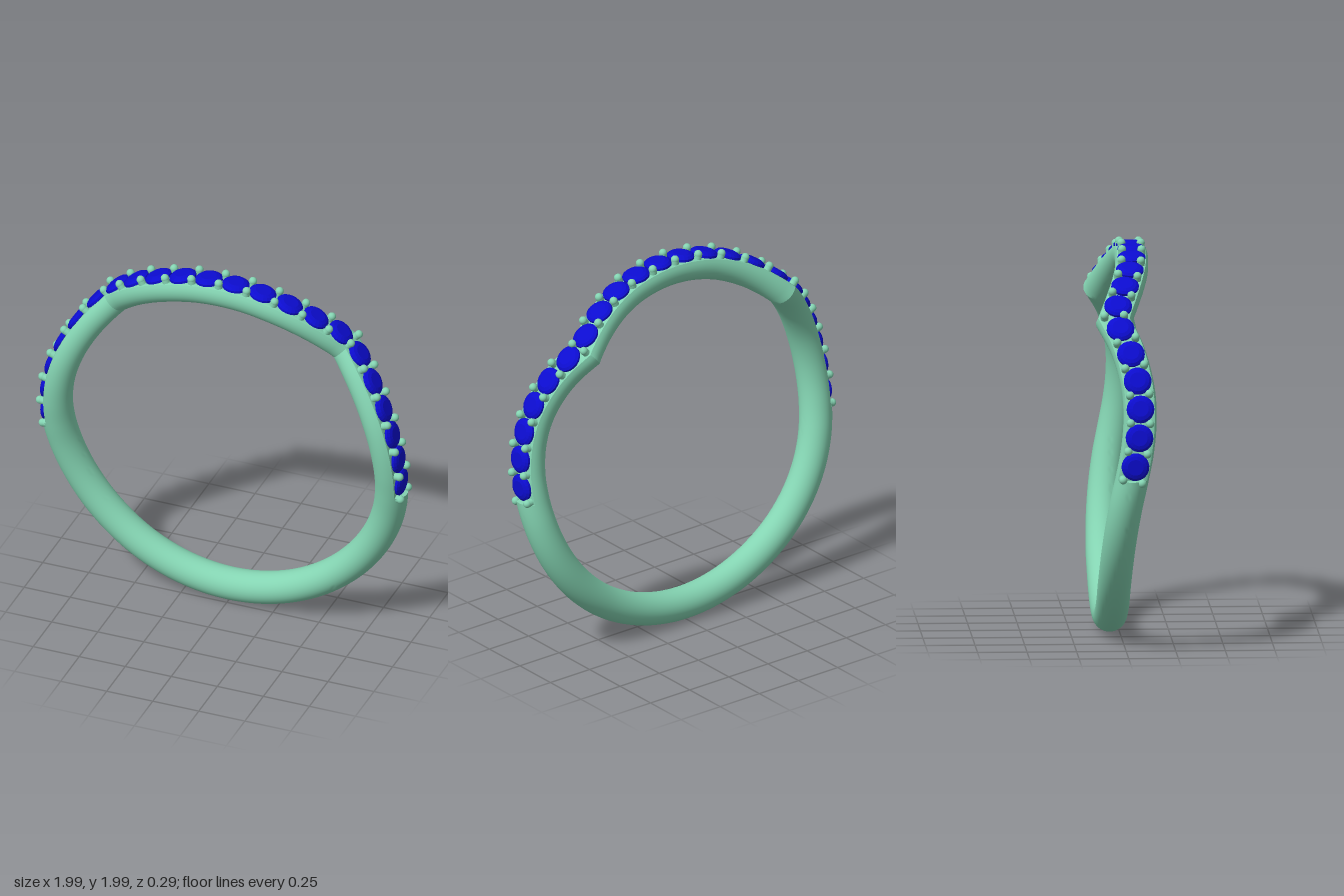
import * as THREE from 'three';
import { toCreasedNormals } from 'three/addons/utils/BufferGeometryUtils.js';

const CY = 0.992, R = 0.908, TUBE = 0.084;   // ring centre height, centreline radius, tube radius
const FLAT = 0.045;                          // height of the flat seat cut for the stones
const STEP = 8.7, COUNT = 22;                // degrees between stones, number of stones
const END = STEP * COUNT / 2;
const RAD = Math.PI / 180;

// Sideways sway of the band, one knot per STEP degrees from the top; sharp peak at KINK
const KINK = 5;
const SWAY = [0.062, 0.058, 0.048, 0.024, -0.012, -0.056, 0, 0.038, 0.06, 0.062, 0.048,
  0.022, -0.006, -0.027, -0.041, -0.049, -0.053];

function sway(deg) {
  let a = Math.abs(deg) % 360;
  if (a > 180) a = 360 - a;
  const u = a / STEP, i = Math.floor(u + 1e-6), t = u - i;
  const k = (n) => SWAY[Math.min(Math.abs(n), SWAY.length - 1)];
  const slope = (n, side) => (n === KINK
    ? (side > 0 ? k(n + 1) - k(n) : k(n) - k(n - 1))
    : (k(n + 1) - k(n - 1)) / 2);
  const m0 = slope(i, 1), m1 = slope(i + 1, -1), t2 = t * t, t3 = t2 * t;
  return (2 * t3 - 3 * t2 + 1) * k(i) + (t3 - 2 * t2 + t) * m0
    + (3 * t2 - 2 * t3) * k(i + 1) + (t3 - t2) * m1;
}

// Slope of the sway per unit of arc length
function swaySlope(deg, d = 0.5) {
  return (sway(deg + d) - sway(deg - d)) / (2 * d * RAD * R);
}

function bandGeometry() {
  const sides = 36, pos = [], index = [], rings = [];
  const fine = STEP / 6;
  for (let i = 0; i <= COUNT * 6; i++) rings.push([-END + i * fine, true]);
  const plain = 112;
  for (let i = 0; i <= plain; i++) rings.push([END + (360 - 2 * END) * i / plain, false]);

  for (const [deg, cut] of rings) {
    const p = deg * RAD, z = sway(deg);
    // widen slanted sections so the tube keeps its thickness; the kink is mitred
    const near = Math.max(Math.abs(swaySlope(deg - 0.6)), Math.abs(swaySlope(deg + 0.6)));
    const wide = Math.hypot(1, near);
    for (let j = 0; j < sides; j++) {
      const a = j / sides * Math.PI * 2;
      let h = TUBE * Math.cos(a);
      if (cut) h = Math.min(h, FLAT);
      let w = TUBE * Math.sin(a);
      pos.push((R + h) * Math.sin(p), CY + (R + h) * Math.cos(p), z + w * wide);
    }
  }
  for (let i = 0; i < rings.length; i++) {
    const n = (i + 1) % rings.length;
    for (let j = 0; j < sides; j++) {
      const k = (j + 1) % sides;
      const a = i * sides + j, b = i * sides + k, c = n * sides + k, d = n * sides + j;
      index.push(a, b, d, b, c, d);
    }
  }
  const g = new THREE.BufferGeometry();
  g.setAttribute('position', new THREE.Float32BufferAttribute(pos, 3));
  g.setIndex(index);
  return toCreasedNormals(g, 0.42);
}

// Group on the band at an angle: y points outward, x along the band, z across it
function mount(deg, radius) {
  const p = deg * RAD, g = new THREE.Group();
  const out = new THREE.Vector3(Math.sin(p), Math.cos(p), 0);
  const along = new THREE.Vector3(Math.cos(p), -Math.sin(p), swaySlope(deg)).normalize();
  const across = new THREE.Vector3().crossVectors(along, out);
  g.quaternion.setFromRotationMatrix(new THREE.Matrix4().makeBasis(along, out, across));
  g.position.set(out.x * radius, CY + out.y * radius, sway(deg));
  return g;
}

export function createModel() {
  const ring = new THREE.Group();
  ring.name = 'ring';
  const metal = new THREE.MeshStandardMaterial({ color: 0x84d4b2 });
  const blue = new THREE.MeshStandardMaterial({ color: 0x0c0cd0, flatShading: true });

  const band = new THREE.Mesh(bandGeometry(), metal);
  band.name = 'band';
  ring.add(band);

  // Round cut stones: pavilion, girdle, crown and table
  const profile = [[0, -0.04], [0.07, 0], [0.07, 0.012], [0.058, 0.022], [0.04, 0.028], [0, 0.028]]
    .map(([x, y]) => new THREE.Vector2(x, y));
  const stoneGeo = new THREE.LatheGeometry(profile, 20);
  const stones = new THREE.Group();
  stones.name = 'stones';
  for (let i = 0; i < COUNT; i++) {
    const seat = mount(-END + (i + 0.5) * STEP, 0.954);
    const stone = new THREE.Mesh(stoneGeo, blue);
    stone.name = 'stone';
    seat.add(stone);
    stones.add(seat);
  }
  ring.add(stones);

  // Pairs of ball-tipped prongs between the stones
  const ballGeo = new THREE.SphereGeometry(0.021, 16, 12);
  const stemGeo = new THREE.CylinderGeometry(0.02, 0.02, 0.05, 16, 1, true);
  const prongs = new THREE.Group();
  prongs.name = 'prongs';
  for (let i = 0; i <= COUNT; i++) {
    const pair = mount(-END + i * STEP, 0.977);
    pair.name = 'prongPair';
    for (const side of [-1, 1]) {
      const ball = new THREE.Mesh(ballGeo, metal);
      ball.name = 'prongTip';
      ball.position.z = side * 0.049;
      const stem = new THREE.Mesh(stemGeo, metal);
      stem.name = 'prongStem';
      stem.position.set(0, -0.025, side * 0.049);
      pair.add(ball, stem);
    }
    prongs.add(pair);
  }
  ring.add(prongs);
  return ring;
}
